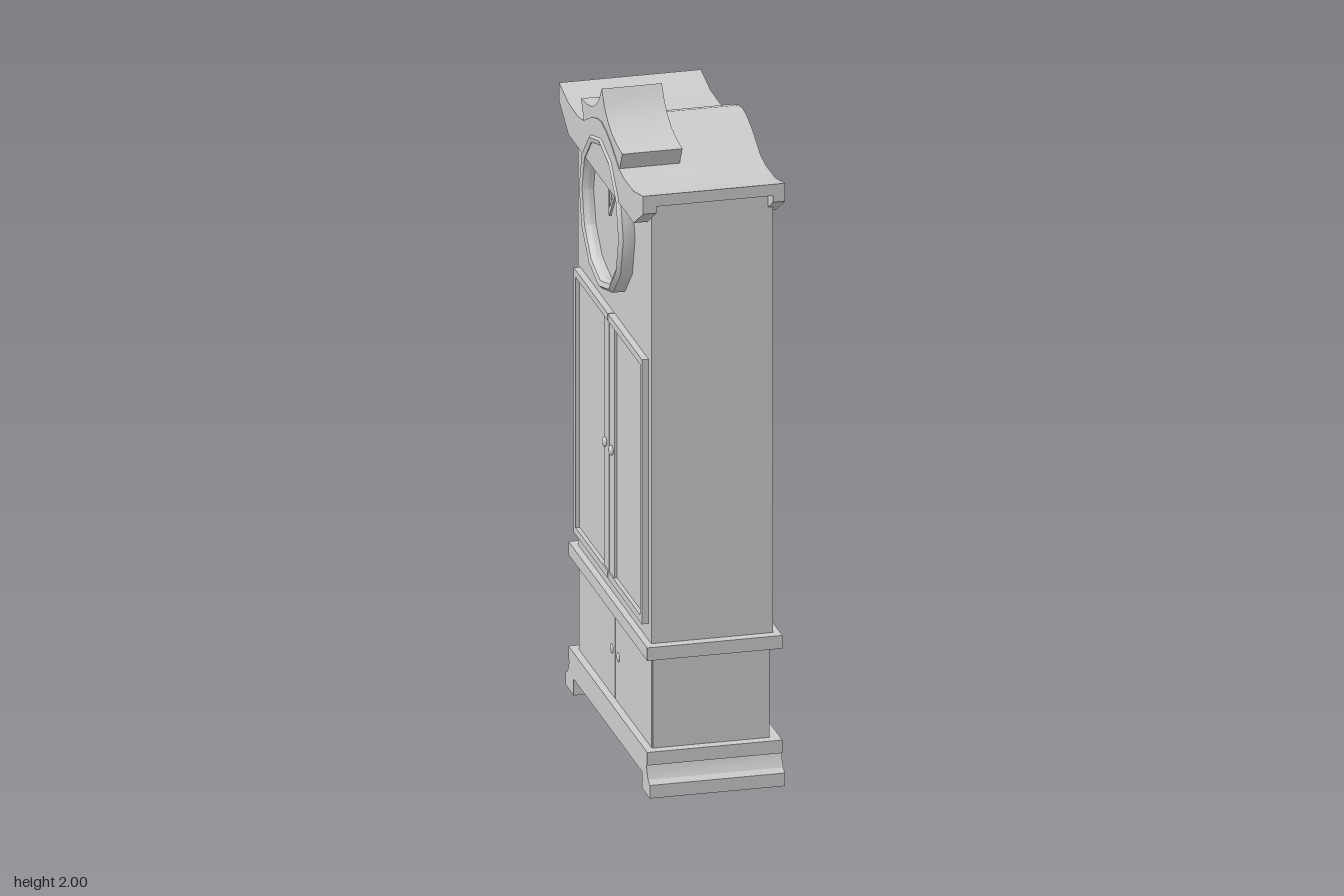
import * as THREE from 'three';
import { toCreasedNormals } from 'three/addons/utils/BufferGeometryUtils.js';

const mat = new THREE.MeshStandardMaterial({ color: 0xcccccc });

export function createModel() {
  const clock = new THREE.Group();
  clock.name = 'longcaseClock';

  const add = (name, geo) => {
    const m = new THREE.Mesh(geo, mat);
    m.name = name;
    clock.add(m);
    return m;
  };
  // Box from its limits on each axis
  const box = (name, x0, x1, y0, y1, z0, z1) => {
    const g = new THREE.BoxGeometry(x1 - x0, y1 - y0, z1 - z0);
    g.translate((x0 + x1) / 2, (y0 + y1) / 2, (z0 + z1) / 2);
    return add(name, g);
  };
  // Symmetric (z, y) outline, given as its +z half, extruded from x0 to x1
  const profile = (name, half, x0, x1) => {
    const mirrored = half.filter(p => p[0] > 0).reverse().map(([z, y]) => [-z, y]);
    const shape = new THREE.Shape([...half, ...mirrored].map(p => new THREE.Vector2(...p)));
    const g = new THREE.ExtrudeGeometry(shape, { depth: x1 - x0, bevelEnabled: false });
    g.rotateY(Math.PI / 2);
    g.translate(x0, 0, 0);
    return add(name, toCreasedNormals(g, 0.5));
  };

  // Plinth with moulded ends and two feet
  profile('plinth', [
    [0, 0.05], [0.385, 0.05], [0.385, 0], [0.475, 0], [0.475, 0.04], [0.455, 0.05],
    [0.443, 0.07], [0.437, 0.09], [0.445, 0.09], [0.445, 0.13], [0, 0.13],
  ], -0.19, 0.21);

  // Case
  box('lowerCase', -0.165, 0.18, 0.13, 0.41, -0.415, 0.415);
  box('waistMoulding', -0.19, 0.21, 0.41, 0.45, -0.445, 0.445);
  box('upperCase', -0.17, 0.19, 0.45, 1.81, -0.415, 0.415);

  // Crown: a thin roof board between a front and a back cornice plank
  const roofTop = [
    [0.475, 1.845], [0.37, 1.822], [0.26, 1.82], [0.2, 1.83], [0.11, 1.873], [0.05, 1.892], [0, 1.9],
  ];
  const roofUnder = roofTop.map(([z, y]) => [z, y - 0.035]).reverse();
  profile('roofBoard', [...roofUnder, ...roofTop], -0.21, 0.21);
  const plank = [[0, 1.725], [0.37, 1.725], [0.475, 1.79], ...roofTop];
  profile('frontCornice', plank, -0.21, -0.17);
  profile('backCornice', plank, 0.175, 0.21);

  // Peaked crest standing on the front of the roof
  profile('crest', [
    [0, 1.895], [0.11, 1.868], [0.2, 1.825], [0.233, 1.885], [0.165, 1.892],
    [0.11, 1.905], [0.065, 1.928], [0.03, 1.957], [0, 2],
  ], -0.208, -0.03);

  // Twelve-sided dial rim, dial and hands, facing -x
  const dialY = 1.62;
  const rim = new THREE.LatheGeometry(
    [[0.2, 0], [0.233, 0], [0.233, 0.035], [0.222, 0.047], [0.207, 0.042], [0.198, 0.025], [0.198, 0]]
      .map(p => new THREE.Vector2(...p)), 12);
  rim.rotateZ(Math.PI / 2);
  rim.translate(-0.17, dialY, 0);
  add('dialRim', toCreasedNormals(rim, 0.55));
  const dial = new THREE.CylinderGeometry(0.2, 0.2, 0.01, 12);
  dial.rotateZ(Math.PI / 2);
  dial.translate(-0.175, dialY, 0);
  add('dial', dial);
  for (const [name, length, angle] of [['hourHand', 0.1, 0.65], ['minuteHand', 0.15, 0]]) {
    const g = new THREE.BoxGeometry(0.006, length, 0.012);
    g.translate(0, length / 2 - 0.01, 0);
    g.rotateX(angle);
    g.translate(-0.183, dialY, 0);
    add(name, g);
  }

  // Pair of framed doors: raised rails and stiles around recessed panels
  const doorZ = 0.385, y0 = 0.5, y1 = 1.31, face = -0.19;
  for (const s of [-1, 1]) {
    const span = (name, x0, x1, lo, hi, a, b) =>
      box(name, x0, x1, lo, hi, Math.min(a * s, b * s), Math.max(a * s, b * s));
    span('doorPanel', -0.178, -0.165, y0, y1, 0.002, doorZ);
    span('outerStile', face, -0.165, y0, y1, doorZ - 0.022, doorZ);
    span('innerStile', face + 0.004, -0.165, y0, y1, 0.002, 0.06);
    span('topRail', face, -0.165, y1 - 0.022, y1, 0.002, doorZ);
    span('bottomRail', face, -0.165, y0, y0 + 0.022, 0.002, doorZ);
    span('cupboardDoor', -0.168, -0.16, 0.13, 0.41, 0.003, 0.41);
    // Knobs of the upper doors and the cupboard
    for (const [x, y] of [[-0.19, 0.905], [-0.166, 0.27]]) {
      const knob = new THREE.SphereGeometry(0.015, 12, 8);
      knob.scale(0.5, 1, 1);
      knob.translate(x, y, s * 0.036);
      add('doorKnob', knob);
    }
  }
  return clock;
}
